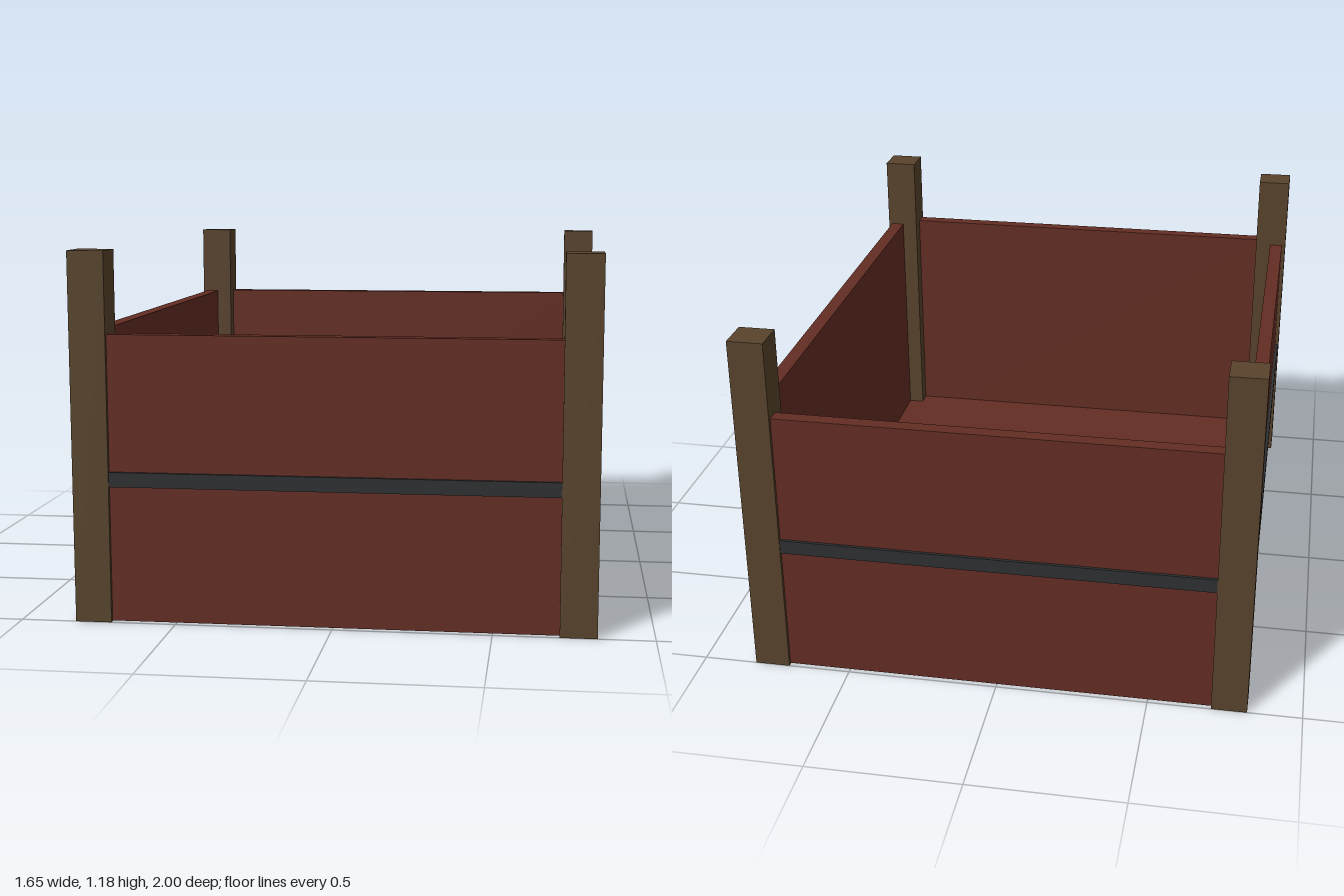
import * as THREE from 'three';

export function createModel() {
  const group = new THREE.Group();
  const material = (name, color) => {
    const m = new THREE.MeshStandardMaterial({ color });
    m.name = name;
    return m;
  };
  const redWood = material('red wood', 0x632d23);
  const postWood = material('brown post wood', 0x58432c);
  const iron = material('dark iron', 0x2d2f31);

  // Box given by its lower and upper corners
  const box = (name, mat, [x0, y0, z0], [x1, y1, z1]) => {
    const mesh = new THREE.Mesh(new THREE.BoxGeometry(x1 - x0, y1 - y0, z1 - z0), mat);
    mesh.position.set((x0 + x1) / 2, (y0 + y1) / 2, (z0 + z1) / 2);
    mesh.name = name;
    group.add(mesh);
  };

  const X = 0.823, Z = 1, post = 0.116; // outer half sizes, post width
  const wallGap = 0.013, bandGap = 0.003, inner = 0.06; // insets from the outer faces
  const wallTop = 0.918, bandLow = 0.437, bandHigh = 0.484;

  // Raised floor
  box('floor', redWood, [-X + inner, 0.07, -Z + inner], [X - inner, 0.1, Z - inner]);

  for (const s of [-1, 1]) {
    const span = (a, b) => (s > 0 ? [a, b] : [-b, -a]);

    // Front and back walls with their iron bands
    const [wz0, wz1] = span(Z - inner, Z - wallGap);
    const [bz0, bz1] = span(Z - wallGap, Z - bandGap);
    const ex = X - post;
    box(s > 0 ? 'frontWall' : 'backWall', redWood, [-ex, 0.003, wz0], [ex, wallTop, wz1]);
    box(s > 0 ? 'frontBand' : 'backBand', iron, [-ex, bandLow, bz0], [ex, bandHigh, bz1]);

    // Side walls with their iron bands
    const [wx0, wx1] = span(X - inner, X - wallGap);
    const [bx0, bx1] = span(X - wallGap, X - bandGap);
    const ez = Z - post;
    box(s > 0 ? 'leftWall' : 'rightWall', redWood, [wx0, 0.003, -ez], [wx1, wallTop, ez]);
    box(s > 0 ? 'leftBand' : 'rightBand', iron, [bx0, bandLow, -ez], [bx1, bandHigh, ez]);

    // Corner posts
    const [pz0, pz1] = span(Z - post, Z);
    const end = s > 0 ? 'front' : 'back';
    box(end + 'LeftPost', postWood, [X - post, 0, pz0], [X, 1.178, pz1]);
    box(end + 'RightPost', postWood, [-X, 0, pz0], [-X + post, 1.178, pz1]);
  }
  return group;
}
